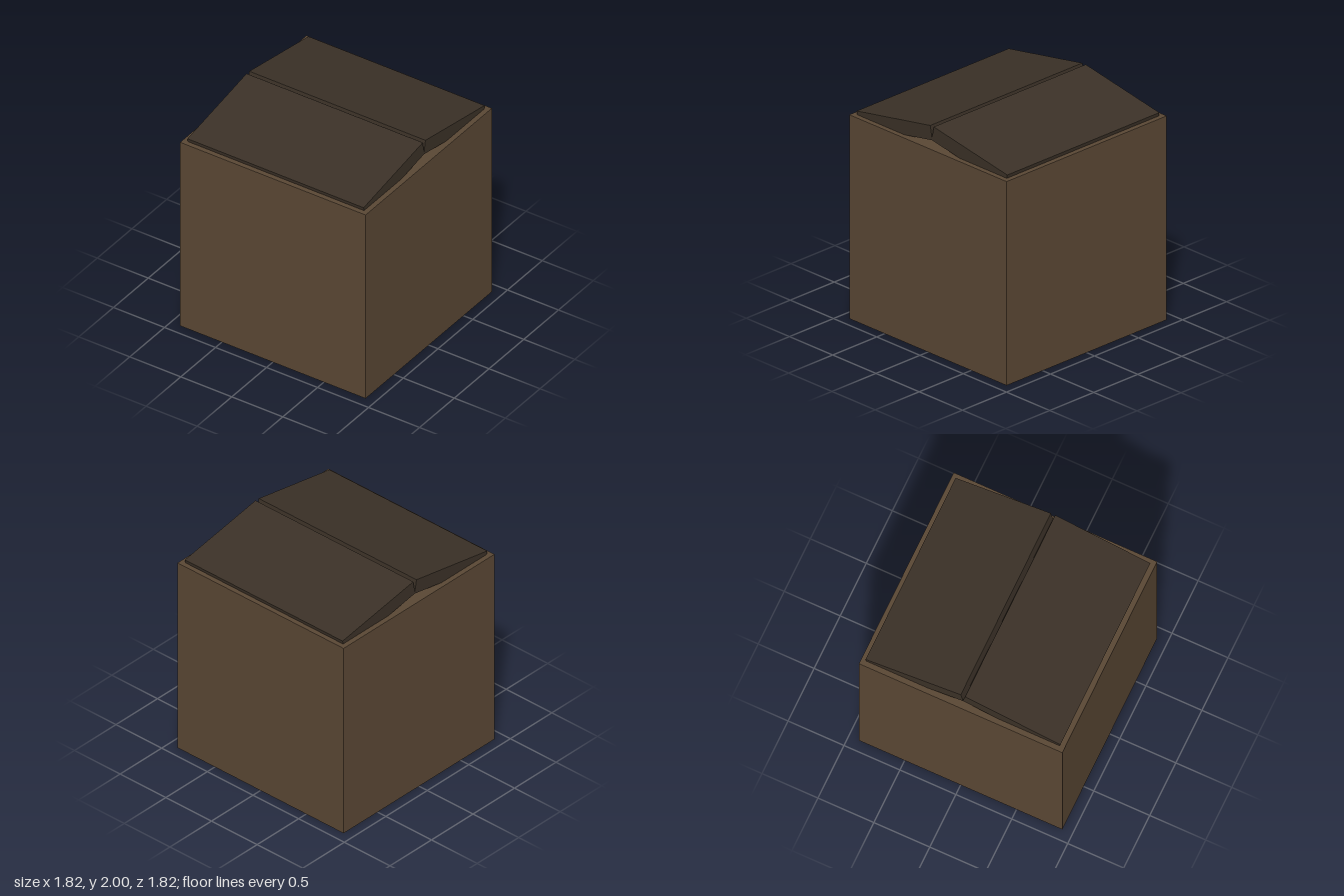
import * as THREE from 'three';

export function createModel() {
  const model = new THREE.Group();
  model.name = 'box';
  const bodyMaterial = new THREE.MeshStandardMaterial({ color: 0x5a4734 });
  const flapMaterial = new THREE.MeshStandardMaterial({ color: 0x3b3127 });

  // Solid cube body
  const size = 1.818;
  const body = new THREE.Mesh(new THREE.BoxGeometry(size, size, size), bodyMaterial);
  body.name = 'body';
  body.position.y = size / 2;
  model.add(body);

  // Two lid flaps, raised 10 degrees towards the middle
  const flapGeometry = new THREE.BoxGeometry(1.727, 0.127, 0.864);
  for (const [name, side] of [['frontFlap', 1], ['backFlap', -1]]) {
    const flap = new THREE.Mesh(flapGeometry, flapMaterial);
    flap.name = name;
    flap.position.set(0, 1.862, side * 0.434);
    flap.rotation.x = side * THREE.MathUtils.degToRad(10);
    model.add(flap);
  }
  return model;
}
